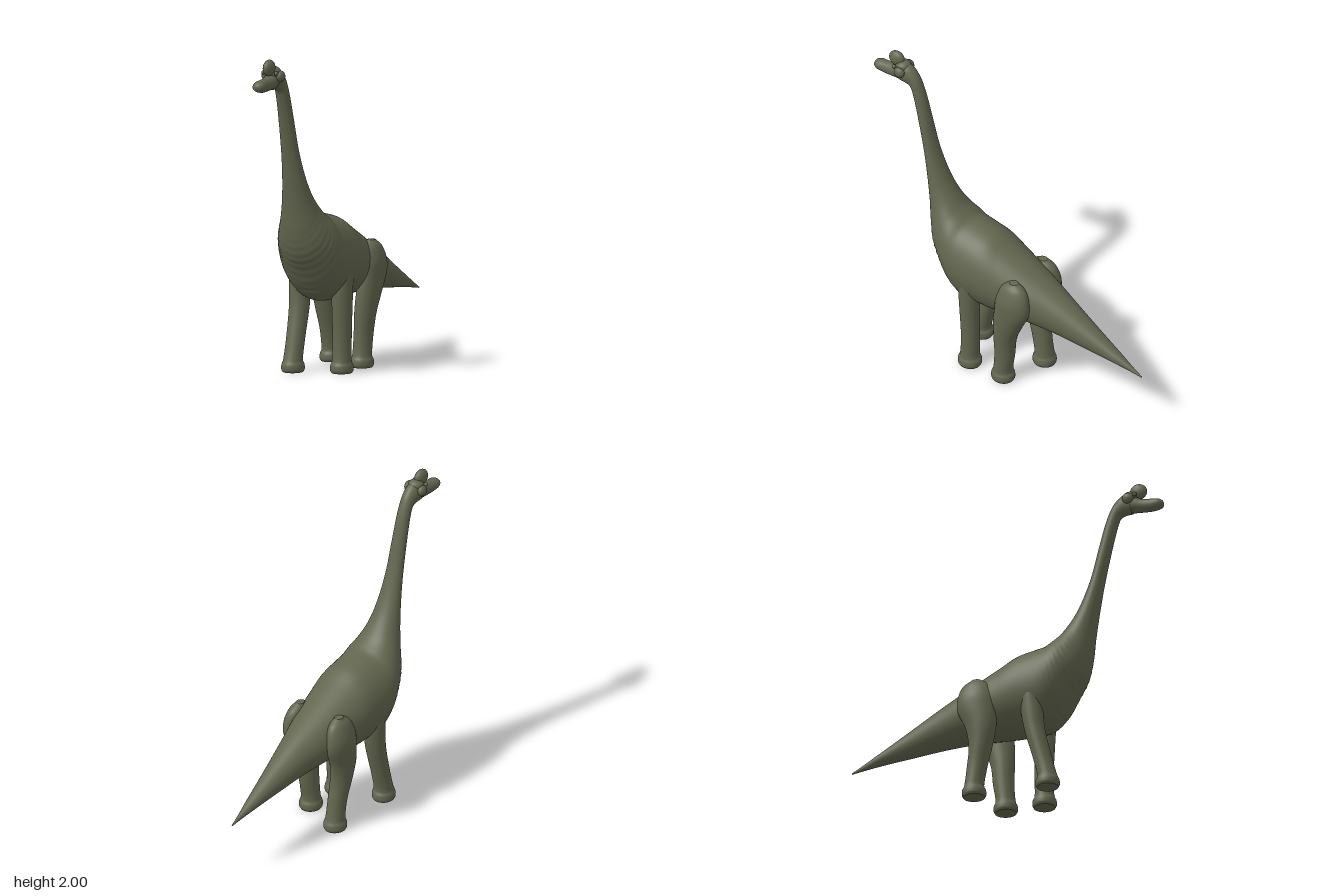
import * as THREE from 'three';

// Smooth loft. Each section is an ellipse given by two opposite points in the
// side plane (zA,yA)-(zB,yB), a half width w and a sideways offset x.
function loft(sections, steps, sides, ripple = () => 0) {
  const curve = (f) => new THREE.CatmullRomCurve3(sections.map(f), false, 'centripetal');
  const n = sections.length - 1;
  const mix = (k, u) => { // smooth interpolation of one column
    const t = u * n, i = Math.min(Math.floor(t), n - 1), f = t - i;
    const at = (q) => sections[Math.max(0, Math.min(n, q))][k] ?? 0;
    const a = at(i - 1), b = at(i), c = at(i + 1), d = at(i + 2);
    return b + 0.5 * f * (c - a + f * (2 * a - 5 * b + 4 * c - d + f * (3 * (b - c) + d - a)));
  };
  const curveA = curve((s) => new THREE.Vector3(0, s[1], s[0]));
  const curveB = curve((s) => new THREE.Vector3(0, s[3], s[2]));
  const pos = [], idx = [];
  for (let i = 0; i <= steps; i++) {
    const u = i / steps, a = curveA.getPoint(u), b = curveB.getPoint(u);
    const c = a.clone().add(b).multiplyScalar(0.5), h = a.clone().sub(c);
    const w = Math.max(mix(4, u), 0.001), x = mix(5, u);
    for (let j = 0; j < sides; j++) {
      const t = (j / sides) * Math.PI * 2, r = 1 + ripple(u, Math.cos(t));
      pos.push(x + w * r * Math.sin(t), c.y + h.y * r * Math.cos(t), c.z + h.z * r * Math.cos(t));
      if (i < steps) {
        const k = (j + 1) % sides, p = i * sides;
        idx.push(p + j, p + sides + j, p + k, p + k, p + sides + j, p + sides + k);
      }
    }
  }
  // End caps with their own vertices, so the rims stay crisp
  for (const end of [0, steps]) {
    const base = pos.length / 3, mid = [0, 0, 0];
    for (let j = 0; j < sides; j++) {
      for (let k = 0; k < 3; k++) {
        const v = pos[(end * sides + j) * 3 + k];
        pos.push(v);
        mid[k] += v / sides;
      }
    }
    pos.push(...mid);
    for (let j = 0; j < sides; j++) {
      const p = base + j, q = base + ((j + 1) % sides), m = base + sides;
      idx.push(...(end ? [p, m, q] : [p, q, m]));
    }
  }
  const g = new THREE.BufferGeometry();
  g.setAttribute('position', new THREE.Float32BufferAttribute(pos, 3));
  g.setIndex(idx);
  g.computeVertexNormals();
  return g;
}

export function createModel() {
  const model = new THREE.Group();
  const skin = new THREE.MeshStandardMaterial({ color: 0x63664f });
  skin.name = 'olive skin';

  const add = (name, geometry) => {
    const mesh = new THREE.Mesh(geometry, skin);
    mesh.name = name;
    model.add(mesh);
    return mesh;
  };
  const lump = (name, p, s, tilt = 0) => {
    const mesh = add(name, new THREE.SphereGeometry(1, 28, 20));
    mesh.position.set(...p);
    mesh.scale.set(...s);
    mesh.rotation.x = tilt;
  };

  // Tail, torso and neck: back point, belly point, half width
  const body = [
    [-0.99, 0.345, -0.99, 0.337, 0.004],
    [-0.8, 0.45, -0.8, 0.37, 0.04],
    [-0.6, 0.565, -0.6, 0.395, 0.077],
    [-0.4, 0.68, -0.4, 0.42, 0.118],
    [-0.2, 0.785, -0.2, 0.435, 0.168],
    [0, 0.89, 0, 0.43, 0.207],
    [0.1, 0.945, 0.12, 0.43, 0.22],
    [0.2, 0.97, 0.27, 0.445, 0.223],
    [0.27, 0.985, 0.36, 0.52, 0.215],
    [0.31, 1.01, 0.44, 0.645, 0.197],
    [0.35, 1.045, 0.505, 0.75, 0.165],
    [0.4, 1.11, 0.54, 0.87, 0.125],
    [0.45, 1.19, 0.56, 1.02, 0.095],
    [0.5, 1.3, 0.585, 1.18, 0.073],
    [0.545, 1.43, 0.615, 1.35, 0.058],
    [0.59, 1.61, 0.66, 1.56, 0.049],
    [0.64, 1.79, 0.705, 1.74, 0.043],
    [0.685, 1.885, 0.725, 1.79, 0.042],
    [0.74, 1.935, 0.755, 1.805, 0.048],
    [0.79, 1.945, 0.8, 1.81, 0.05],
  ];
  // Faint skin folds around the chest and the base of the neck
  const folds = (u, c) => {
    const fade = Math.max(0, 1 - Math.abs(u - 0.5) / 0.11);
    return 0.011 * fade * THREE.MathUtils.smoothstep(-c, -0.5, 0.4) * Math.sin(u * 300);
  };
  add('body', loft(body, 200, 48, folds));

  // Head
  add('snout', loft([
    [0.76, 1.93, 0.76, 1.815, 0.045],
    [0.81, 1.92, 0.81, 1.815, 0.046],
    [0.86, 1.897, 0.86, 1.812, 0.04],
    [0.92, 1.89, 0.92, 1.81, 0.038],
    [0.965, 1.885, 0.965, 1.817, 0.039],
    [0.99, 1.872, 0.99, 1.828, 0.027],
    [0.998, 1.857, 0.998, 1.843, 0.009],
  ], 36, 28));
  lump('crest', [0, 1.95, 0.838], [0.032, 0.05, 0.054]);
  lump('brow', [0, 1.915, 0.79], [0.05, 0.038, 0.05], 0.3);

  for (const side of [1, -1]) {
    const sideName = side > 0 ? 'left' : 'right';
    lump(sideName + 'Cheek', [side * 0.05, 1.895, 0.785], [0.026, 0.034, 0.036]);
    lump(sideName + 'Eye', [side * 0.045, 1.918, 0.828], [0.012, 0.013, 0.013]);
  }

  // Legs: rows of height, centre z, half depth, half width, centre x
  const leg = (name, side, rows) => add(name, loft(
    rows.map(([y, z, d, w, x]) => [z + d, y, z - d, y, w, side * x]), 48, 32));
  const foot = (z) => [
    [0.07, z, 0.062, 0.06, 0.138],
    [0.045, z, 0.073, 0.069, 0.138],
    [0.015, z, 0.074, 0.07, 0.138],
    [0, z, 0.066, 0.062, 0.138],
  ];

  leg('leftFrontLeg', 1, [
    [0.74, 0.2, 0.03, 0.03, 0.15], [0.66, 0.2, 0.06, 0.06, 0.15], [0.55, 0.195, 0.065, 0.065, 0.145],
    [0.4, 0.192, 0.062, 0.063, 0.14], [0.2, 0.188, 0.058, 0.058, 0.138], ...foot(0.192),
  ]);
  leg('rightFrontLeg', -1, [
    [0.74, 0.2, 0.03, 0.03, 0.15], [0.66, 0.2, 0.06, 0.06, 0.15], [0.55, 0.205, 0.068, 0.065, 0.145],
    [0.4, 0.222, 0.063, 0.063, 0.14], [0.2, 0.272, 0.058, 0.058, 0.138], ...foot(0.304),
  ]);
  const thigh = [
    [0.77, -0.145, 0.03, 0.025, 0.15], [0.73, -0.145, 0.085, 0.05, 0.155],
    [0.65, -0.145, 0.115, 0.07, 0.163], [0.57, -0.14, 0.12, 0.073, 0.163],
  ];
  leg('leftHindLeg', 1, [
    ...thigh, [0.45, -0.105, 0.098, 0.07, 0.157], [0.33, -0.078, 0.075, 0.065, 0.148],
    [0.2, -0.07, 0.066, 0.058, 0.14], ...foot(-0.056),
  ]);
  leg('rightHindLeg', -1, [
    ...thigh, [0.45, -0.115, 0.095, 0.07, 0.157], [0.33, -0.12, 0.073, 0.065, 0.148],
    [0.2, -0.145, 0.063, 0.058, 0.14], ...foot(-0.165),
  ]);

  // Breast fold between the front legs
  lump('breast', [0, 0.525, 0.265], [0.13, 0.055, 0.09]);

  return model;
}
